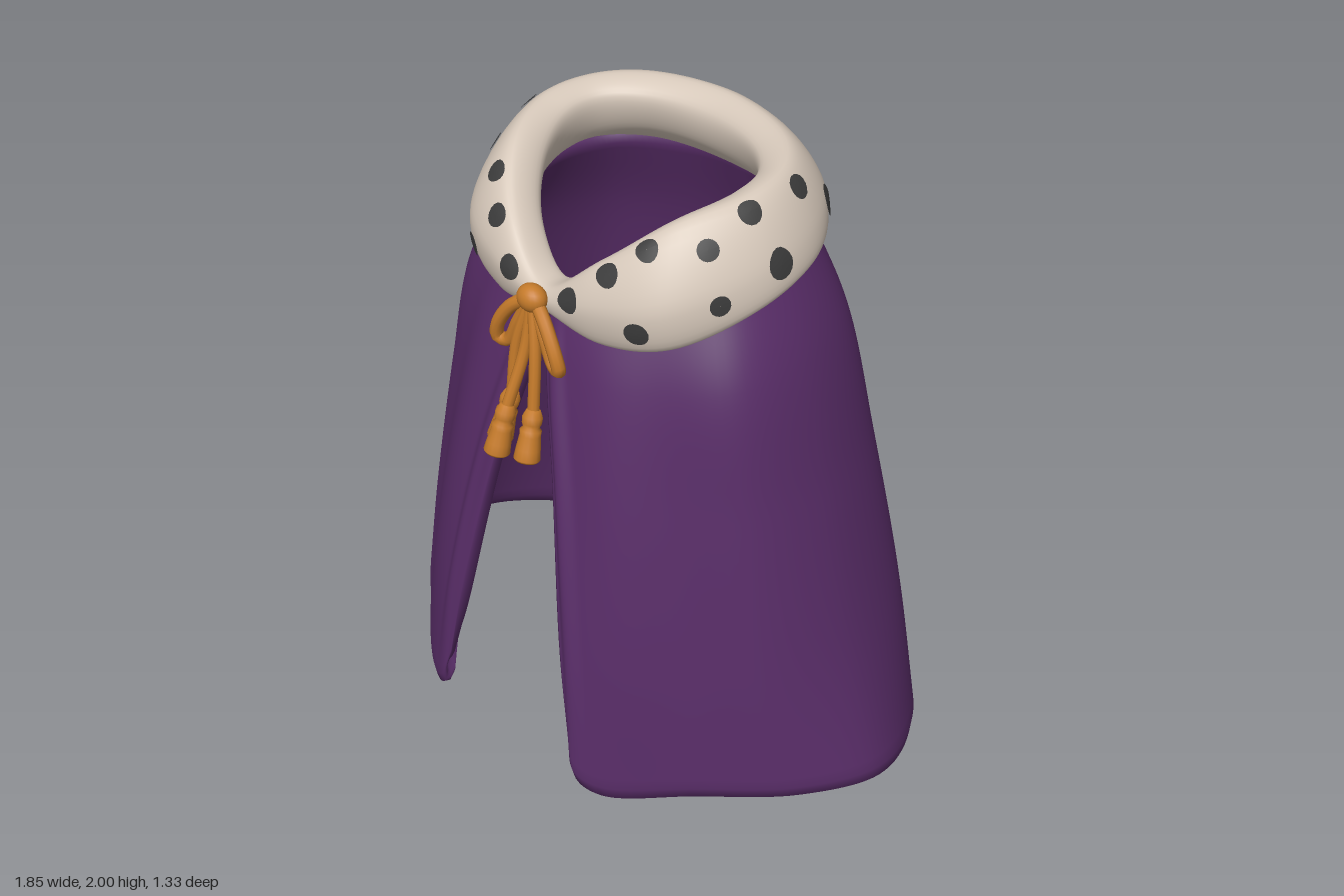
import * as THREE from 'three';

const mat = (name, color) => {
  const m = new THREE.MeshStandardMaterial({ color });
  m.name = name;
  return m;
};
const V = (x, y, z) => new THREE.Vector3(x, y, z);

// Control columns run from the front edge round the +x side to the back: x, y, z triples.
const capeHalf = [
  [0.01, 1.63, 0.44, 0.03, 1.45, 0.49, 0.115, 1.1, 0.56, 0.21, 0.6, 0.635, 0.268, 0.29, 0.655],
  [0.04, 1.63, 0.44, 0.07, 1.45, 0.495, 0.155, 1.1, 0.565, 0.25, 0.6, 0.635, 0.305, 0.18, 0.67],
  [0.08, 1.63, 0.44, 0.13, 1.45, 0.49, 0.22, 1.1, 0.555, 0.31, 0.6, 0.62, 0.385, 0.145, 0.64],
  [0.28, 1.66, 0.35, 0.34, 1.45, 0.415, 0.42, 1.1, 0.455, 0.52, 0.6, 0.48, 0.6, 0.178, 0.475],
  [0.43, 1.72, 0.19, 0.54, 1.48, 0.25, 0.625, 1.1, 0.265, 0.73, 0.6, 0.275, 0.83, 0.2, 0.26],
  [0.46, 1.76, 0, 0.59, 1.5, 0.02, 0.695, 1.1, 0.02, 0.815, 0.6, 0.02, 0.935, 0.19, 0.01],
  [0.4, 1.77, -0.17, 0.495, 1.5, -0.23, 0.585, 1.1, -0.265, 0.695, 0.6, -0.3, 0.805, 0.13, -0.295],
  [0.22, 1.79, -0.28, 0.28, 1.5, -0.37, 0.335, 1.1, -0.43, 0.4, 0.6, -0.495, 0.45, 0.045, -0.575],
  [0, 1.8, -0.32, 0, 1.5, -0.42, 0, 1.1, -0.495, 0, 0.6, -0.57, 0, 0.01, -0.67],
];
// Collar sections: outer bottom, outer middle, crest, inner top, inner bottom.
const collarHalf = [
  [0, 1.6, 0.465, 0, 1.64, 0.48, 0, 1.67, 0.455, 0, 1.66, 0.37, 0, 1.61, 0.37],
  [0.2, 1.56, 0.43, 0.2, 1.68, 0.465, 0.17, 1.79, 0.41, 0.15, 1.76, 0.325, 0.16, 1.66, 0.335],
  [0.39, 1.595, 0.35, 0.395, 1.73, 0.375, 0.32, 1.92, 0.275, 0.27, 1.87, 0.205, 0.3, 1.73, 0.23],
  [0.515, 1.69, 0.12, 0.51, 1.805, 0.12, 0.41, 1.965, 0.08, 0.33, 1.93, 0.06, 0.365, 1.78, 0.07],
  [0.49, 1.74, -0.1, 0.48, 1.84, -0.1, 0.385, 1.98, -0.08, 0.31, 1.945, -0.05, 0.345, 1.81, -0.06],
  [0.335, 1.74, -0.275, 0.34, 1.85, -0.28, 0.27, 1.99, -0.2, 0.205, 1.95, -0.14, 0.23, 1.83, -0.165],
  [0, 1.72, -0.37, 0, 1.86, -0.375, 0, 2.0, -0.26, 0, 1.95, -0.185, 0, 1.83, -0.21],
];

// Smooth surface through the columns and their mirror image; u runs round, v along a column.
function loft(half, closed) {
  const cols = half.map(r => [0, 3, 6, 9, 12].map(k => V(r[k], r[k + 1], r[k + 2])));
  const rest = cols.slice(closed ? 1 : 0, -1).reverse();
  const all = cols.concat(rest.map(c => c.map(p => V(-p.x, p.y, p.z))));
  const curves = all.map(c => new THREE.CatmullRomCurve3(c, closed));
  return (u, v) => new THREE.CatmullRomCurve3(curves.map(c => c.getPoint(v)), closed).getPoint(u);
}

// Tangents by finite difference
function tangents(P, u, v, open) {
  const e = 0.002, lim = t => (open ? Math.min(1, Math.max(0, t)) : t);
  const d = (a, b) => b.sub(a).divideScalar(e * 2);
  return [d(P(lim(u - e), v), P(lim(u + e), v)), d(P(u, lim(v - e)), P(u, lim(v + e)))];
}

// Grid of nu rings whose nv points form closed loops
function gridGeometry(nu, nv, point, closedU) {
  const pos = [], idx = [];
  for (let i = 0; i < nu; i++) for (let k = 0; k < nv; k++) pos.push(...point(i, k).toArray());
  const id = (i, k) => (i % nu) * nv + (k % nv);
  for (let i = 0; i < (closedU ? nu : nu - 1); i++) for (let k = 0; k < nv; k++) {
    const a = id(i, k), b = id(i + 1, k), c = id(i, k + 1), d = id(i + 1, k + 1);
    idx.push(a, b, c, b, d, c);
  }
  // close the two ends of an open sheet
  if (!closedU) for (let k = 0; k < nv / 2 - 1; k++) {
    const m = nv - 1 - k;
    idx.push(id(0, k), id(0, k + 1), id(0, m - 1), id(0, k), id(0, m - 1), id(0, m));
    const e = nu - 1;
    idx.push(id(e, k), id(e, m - 1), id(e, k + 1), id(e, k), id(e, m), id(e, m - 1));
  }
  const g = new THREE.BufferGeometry();
  g.setAttribute('position', new THREE.Float32BufferAttribute(pos, 3));
  g.setIndex(idx);
  g.computeVertexNormals();
  return g;
}

export function createModel() {
  const model = new THREE.Group();
  const purple = mat('purple cloth', 0x572c66);
  const fur = mat('cream fur', 0xd6c8ba);
  const dark = mat('dark spots', 0x3b3b3b);
  const gold = mat('gold cord', 0xc47a2a);
  const add = (parent, name, geo, m) => {
    const mesh = new THREE.Mesh(geo, m);
    mesh.name = name;
    parent.add(mesh);
    return mesh;
  };

  // Cape: thick sheet with soft vertical folds and rounded rims
  const P = loft(capeHalf, false), n = 48, nu = 161, thick = 0.042;
  add(model, 'cape', gridGeometry(nu, 2 * n + 2, (i, k) => {
    const outer = k <= n, u = i / (nu - 1);
    const v = outer ? 1 - k / n : (k - n - 1) / n;
    const [du, dv] = tangents(P, u, v, true);
    const normal = dv.cross(du).normalize();
    const s = Math.abs(u - 0.5) * 2;
    const fold = 0.008 * Math.sin(s * 30 + Math.sin(s * 9)) * Math.sin(Math.PI * Math.min(1, v * 0.95 + 0.03));
    const round = i === 0 || i === nu - 1 || v === 0 || v === 1 ? 0.28 : 0;
    return P(u, v).addScaledVector(normal, fold - thick * (outer ? round : 1 - round));
  }, false), purple);

  // Fur collar
  const C = loft(collarHalf, true), cu = 120, cv = 36;
  add(model, 'collar', gridGeometry(cu, cv, (i, k) => C(i / cu, k / cv), true), fur);

  // Spots: thin discs laid on the collar surface
  const spots = new THREE.Group();
  spots.name = 'collarSpots';
  model.add(spots);
  const samples = [];
  for (let i = 0; i < 120; i++) for (let k = 0; k < 40; k++) samples.push([i / 120, k / 40, C(i / 120, k / 40)]);
  const addSpot = (target, r) => {
    let best = samples[0];
    for (const s of samples) if (s[2].distanceTo(target) < best[2].distanceTo(target)) best = s;
    const [u0, v0] = best, [du, dv] = tangents(C, u0, v0, false);
    const len = du.length(), p = dv.dot(du) / len, q = Math.sqrt(dv.lengthSq() - p * p);
    const normal = du.clone().cross(dv).normalize();
    const g = new THREE.RingGeometry(0.0005, r, 16, 3), a = g.attributes.position;
    for (let i = 0; i < a.count; i++) {
      const b = a.getY(i) / q, c = (a.getX(i) - p * b) / len;
      const w = C((u0 + c + 1) % 1, (v0 + b + 1) % 1).addScaledVector(normal, 0.005);
      a.setXYZ(i, w.x, w.y, w.z);
    }
    g.computeVertexNormals();
    add(spots, 'spot', g, dark);
  };
  const spotSpecs = [
    [0.125, 1.685, 0.47, 0.037], [0.22, 1.78, 0.42, 0.035], [0.32, 1.65, 0.4, 0.036],
    [0.3, 1.84, 0.34, 0.033], [0.41, 1.86, 0.24, 0.031], [0.46, 1.72, 0.25, 0.03],
    [0.52, 1.8, 0.08, 0.041], [0.43, 1.935, 0.11, 0.035], [0.42, 1.94, -0.07, 0.036],
    [0.42, 1.83, -0.22, 0.041], [0.22, 1.93, -0.3, 0.034], [0, 1.84, -0.38, 0.038],
  ];
  for (const [x, y, z, r] of spotSpecs)
    for (const s of x ? [1, -1] : [1]) addSpot(V(s * x, y, z), r);

  // Cord: knot, bow loops and hanging tassels
  const cord = new THREE.Group();
  cord.name = 'cord';
  model.add(cord);
  const tube = (name, pts, r) =>
    add(cord, name, new THREE.TubeGeometry(new THREE.CatmullRomCurve3(pts), 28, r, 10), gold);
  const knot = add(cord, 'knot', new THREE.SphereGeometry(0.048, 20, 14), gold);
  knot.position.set(0, 1.648, 0.498);
  knot.scale.set(1, 0.85, 0.8);
  for (const s of [1, -1]) tube('bowLoop', [
    V(s * 0.01, 1.645, 0.495), V(s * 0.07, 1.6, 0.515), V(s * 0.12, 1.52, 0.525),
    V(s * 0.125, 1.478, 0.52), V(s * 0.093, 1.478, 0.51), V(s * 0.055, 1.55, 0.505), V(s * 0.01, 1.635, 0.495),
  ], 0.02);

  const tasselProfile = [
    [0, 0], [0.02, -0.004], [0.029, -0.025], [0.028, -0.045], [0.023, -0.055], [0.031, -0.064],
    [0.03, -0.08], [0.035, -0.12], [0.038, -0.15], [0.032, -0.157], [0, -0.15],
  ].reverse().map(([r, y]) => new THREE.Vector2(r, y));
  for (const [x, y, z, bow] of [[-0.05, 1.345, 0.54, -0.015], [-0.02, 1.335, 0.585, 0.005], [0.05, 1.335, 0.55, 0.01]]) {
    const end = V(x, y, z), mid = V(x * 0.5 + bow, 1.5, 0.525);
    tube('tail', [V(x * 0.1, 1.64, 0.5), mid, end.clone().add(V(0, -0.01, 0.002))], 0.017);
    const tassel = add(cord, 'tassel', new THREE.LatheGeometry(tasselProfile, 16), gold);
    tassel.position.copy(end);
    tassel.quaternion.setFromUnitVectors(V(0, -1, 0), V(x * 0.25, -0.15, 0.045).normalize());
  }
  return model;
}
